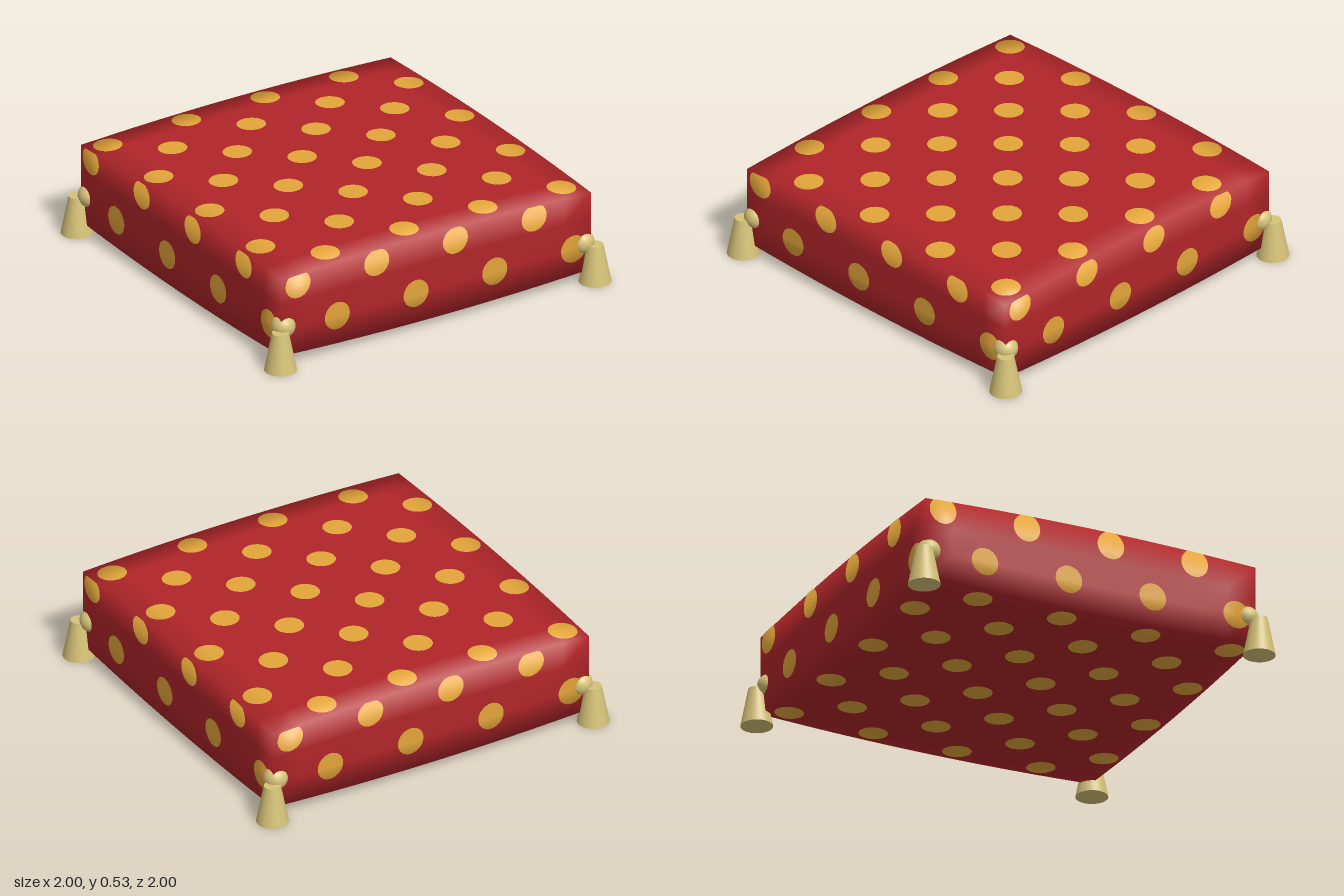
import * as THREE from 'three';
import { mergeGeometries } from 'three/addons/utils/BufferGeometryUtils.js';

const HALF = 0.905; // half width of the cushion
const MID = 0.27; // height of its middle plane
const SOFT = 0.15; // width of the softly shaded border
const LIFT = 0.004;

// Half thickness of the cushion, fullest in the middle
const thickness = (x, z) => 0.208 + 0.023 * (2 - (x / HALF) ** 2 - (z / HALF) ** 2);

// Soft normals: each face leans towards its neighbour near the shared edge
function softenNormals(geometry) {
  const p = geometry.attributes.position, n = geometry.attributes.normal;
  const lean = (value, half) =>
    Math.sign(value) * THREE.MathUtils.clamp((Math.abs(value) - half + SOFT) / SOFT, 0, 1);
  const v = new THREE.Vector3();
  for (let i = 0; i < p.count; i++) {
    const x = p.getX(i), y = p.getY(i), z = p.getZ(i);
    v.set(lean(x, HALF), lean(y - MID, thickness(x, z)), lean(z, HALF)).normalize();
    n.setXYZ(i, v.x, v.y, v.z);
  }
  return geometry;
}

function cushionGeometry() {
  const g = new THREE.BoxGeometry(2 * HALF, 2, 2 * HALF, 12, 3, 12);
  const p = g.attributes.position;
  for (let i = 0; i < p.count; i++) {
    p.setY(i, MID + p.getY(i) * thickness(p.getX(i), p.getZ(i)));
  }
  return softenNormals(g);
}

// One dot, laid on a face by a function from (u, v) to a point
function dotGeometry(u, v, place) {
  const g = new THREE.RingGeometry(0, 0.073, 28, 3);
  const p = g.attributes.position;
  for (let i = 0; i < p.count; i++) {
    p.setXYZ(i, ...place(u + p.getX(i), v + p.getY(i)));
  }
  return softenNormals(g);
}

// Staggered rows of dots on one face
function dotRows(startV, rows, place) {
  const dots = [];
  for (let row = 0; row < rows; row++) {
    for (let col = row % 2; col < 8; col += 2) {
      dots.push(dotGeometry(-0.81 + 0.23 * col, startV - 0.23 * row, place));
    }
  }
  return mergeGeometries(dots);
}

export function createModel() {
  const red = new THREE.MeshStandardMaterial({ color: 0xb02529 });
  red.name = 'red cloth';
  const amber = new THREE.MeshStandardMaterial({ color: 0xe3a53a });
  amber.name = 'amber dots';
  const gold = new THREE.MeshStandardMaterial({ color: 0xd6c278 });
  gold.name = 'pale gold';

  const model = new THREE.Group();
  model.name = 'cushion with tassels';
  const add = (parent, name, geometry, material) => {
    const mesh = new THREE.Mesh(geometry, material);
    mesh.name = name;
    parent.add(mesh);
    return mesh;
  };

  add(model, 'cushion', cushionGeometry(), red);

  // Dots above and below
  add(model, 'topDots', dotRows(0.81, 8, (u, v) => [u, MID + thickness(u, v) + LIFT, -v]), amber);
  add(model, 'bottomDots', dotRows(0.81, 8, (u, v) => [u, MID - thickness(u, v) - LIFT, v]), amber);

  // The same dots on all four sides, cut off at the top edge
  const sideDots = dotRows(0.43, 2, (u, v) =>
    [u, Math.min(v, MID + thickness(u, HALF) - 0.001), HALF + LIFT]);
  ['front', 'left', 'back', 'right'].forEach((side, i) => {
    add(model, side + 'Dots', sideDots, amber).rotation.y = i * Math.PI / 2;
  });

  // A knot and a flared tassel at each corner
  const skirt = new THREE.CylinderGeometry(0.042, 0.081, 0.2, 32);
  const knot = new THREE.SphereGeometry(0.061, 28, 20);
  for (const sx of [-1, 1]) {
    for (const sz of [-1, 1]) {
      const tassel = new THREE.Group();
      tassel.name = (sz > 0 ? 'front' : 'back') + (sx > 0 ? 'Left' : 'Right') + 'Tassel';
      add(tassel, 'tasselSkirt', skirt, gold).position.set(sx * 0.919, 0.1, sz * 0.919);
      add(tassel, 'tasselKnot', knot, gold).position.set(sx * 0.873, 0.208, sz * 0.873);
      model.add(tassel);
    }
  }
  return model;
}
